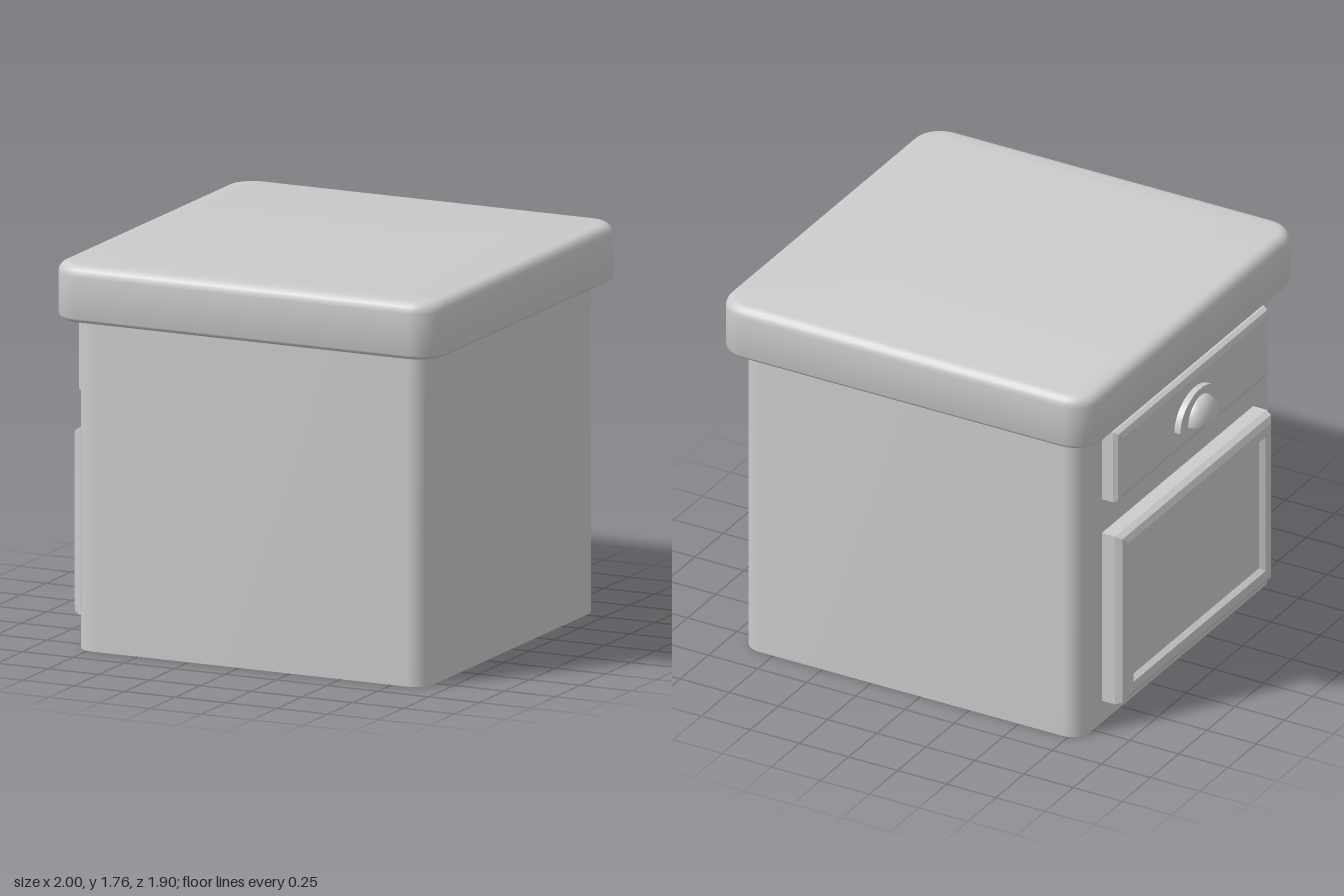
import * as THREE from 'three';
import { toCreasedNormals } from 'three/addons/utils/BufferGeometryUtils.js';

const material = new THREE.MeshStandardMaterial({ color: 0xcccccc, side: THREE.DoubleSide });
const CENTER = 0.05, HALF = 0.8625, CORNER = 0.09, WALL_TOP = 1.5;
const WALL = HALF - CENTER; // distance of the drawer wall from the origin

// Counter-clockwise rounded rectangle, starting and ending on its -x side
function outline(hw, hh, r, z, cy = 0, n = 8) {
  const points = [];
  [[-1, -1], [1, -1], [1, 1], [-1, 1]].forEach(([sx, sy], c) => {
    const steps = r > 0 ? n : 0;
    for (let i = 0; i <= steps; i++) {
      const a = Math.PI + (c + (steps ? i / steps : 0)) * Math.PI / 2;
      points.push([sx * (hw - r) + r * Math.cos(a), cy + sy * (hh - r) + r * Math.sin(a), z]);
    }
  });
  return points;
}

// Skin over successive outlines, optionally closed around and capped at the end
function loft(loops, { closed = true, cap = true, crease = 0.7 } = {}) {
  const n = loops[0].length, index = [];
  for (let k = 0; k < loops.length - 1; k++) {
    for (let i = 0; i < (closed ? n : n - 1); i++) {
      const j = (i + 1) % n, a = k * n, b = a + n;
      index.push(a + i, a + j, b + j, a + i, b + j, b + i);
    }
  }
  const last = (loops.length - 1) * n;
  if (cap) for (let i = 1; i < n - 1; i++) index.push(last, last + i, last + i + 1);
  const g = new THREE.BufferGeometry();
  g.setAttribute('position', new THREE.Float32BufferAttribute(loops.flat(2), 3));
  g.setIndex(index);
  return toCreasedNormals(g, crease);
}

function add(parent, name, geometry) {
  const mesh = new THREE.Mesh(geometry, material);
  mesh.name = name;
  parent.add(mesh);
  return mesh;
}

export function createModel() {
  const model = new THREE.Group();
  model.name = 'bedsideCabinet';

  // Three rounded walls, open at the bottom and on the drawer side
  const walls = loft([0, WALL_TOP].map(z => outline(HALF, HALF, CORNER, z)), { closed: false, cap: false });
  add(model, 'cabinetWalls', walls.rotateX(-Math.PI / 2).translate(CENTER, 0, 0));

  // Overhanging top with softened edges
  const lid = [outline(HALF, HALF, CORNER, WALL_TOP)];
  const lidEdge = (z, r, from) => {
    for (let i = 0; i <= 5; i++) {
      const a = from + (i / 5) * Math.PI / 2;
      const inset = r * (1 - Math.cos(a));
      lid.push(outline(0.95 - inset, 0.95 - inset, 0.14 - inset, z + r * Math.sin(a)));
    }
  };
  lidEdge(WALL_TOP + 0.03, 0.03, -Math.PI / 2);
  lidEdge(1.76 - 0.05, 0.05, 0);
  add(model, 'top', loft(lid).rotateX(-Math.PI / 2).translate(CENTER, 0, 0));

  // Drawer side: local +z points outward to -x
  const face = new THREE.Group();
  face.name = 'drawerSide';
  face.rotation.y = -Math.PI / 2;
  model.add(face);

  const door = { hw: 0.67, hh: 0.4225, cy: 0.5325 };
  const drawer = { hw: 0.67, hh: 0.175, cy: 1.3 };
  const rect = (p, inset, z) => outline(p.hw - inset, p.hh - inset, 0, z, p.cy);

  // Flat wall with openings behind the door and drawer
  const toPath = (points, Type) => new Type(points.map(([x, y]) => new THREE.Vector2(x, y)));
  const wall = toPath(outline(HALF - CORNER, WALL_TOP / 2, 0, 0, WALL_TOP / 2), THREE.Shape);
  wall.holes = [door, drawer].map(p => toPath(rect(p, 0, 0), THREE.Path));
  add(face, 'drawerWall', new THREE.ShapeGeometry(wall).translate(0, 0, WALL));

  // Door with a bevelled frame and sunken panel
  add(face, 'door', loft([
    rect(door, 0, WALL), rect(door, 0, 0.88), rect(door, 0.012, 0.91), rect(door, 0.04, 0.925),
    rect(door, 0.085, 0.925), rect(door, 0.1, 0.9),
  ], { crease: 0.3 }));

  // Drawer front
  add(face, 'drawerFront', loft([
    rect(drawer, 0, WALL), rect(drawer, 0, 0.87), rect(drawer, 0.01, 0.89), rect(drawer, 0.035, 0.9),
  ], { crease: 0.3 }));

  // Half-round back plate and cup of the pull
  const plate = new THREE.Shape().absellipse(0, 0, 0.18, 0.145, 0, Math.PI);
  const plateGeometry = new THREE.ExtrudeGeometry(plate, { depth: 0.03, bevelEnabled: false, curveSegments: 24 });
  add(face, 'pullPlate', toCreasedNormals(plateGeometry, 0.6).translate(0, 1.25, 0.9));
  const cup = new THREE.SphereGeometry(1, 24, 12, 0, Math.PI, 0, Math.PI / 2);
  add(face, 'pullCup', cup.scale(0.11, 0.11, 0.07).translate(0, 1.25, 0.93));

  return model;
}
